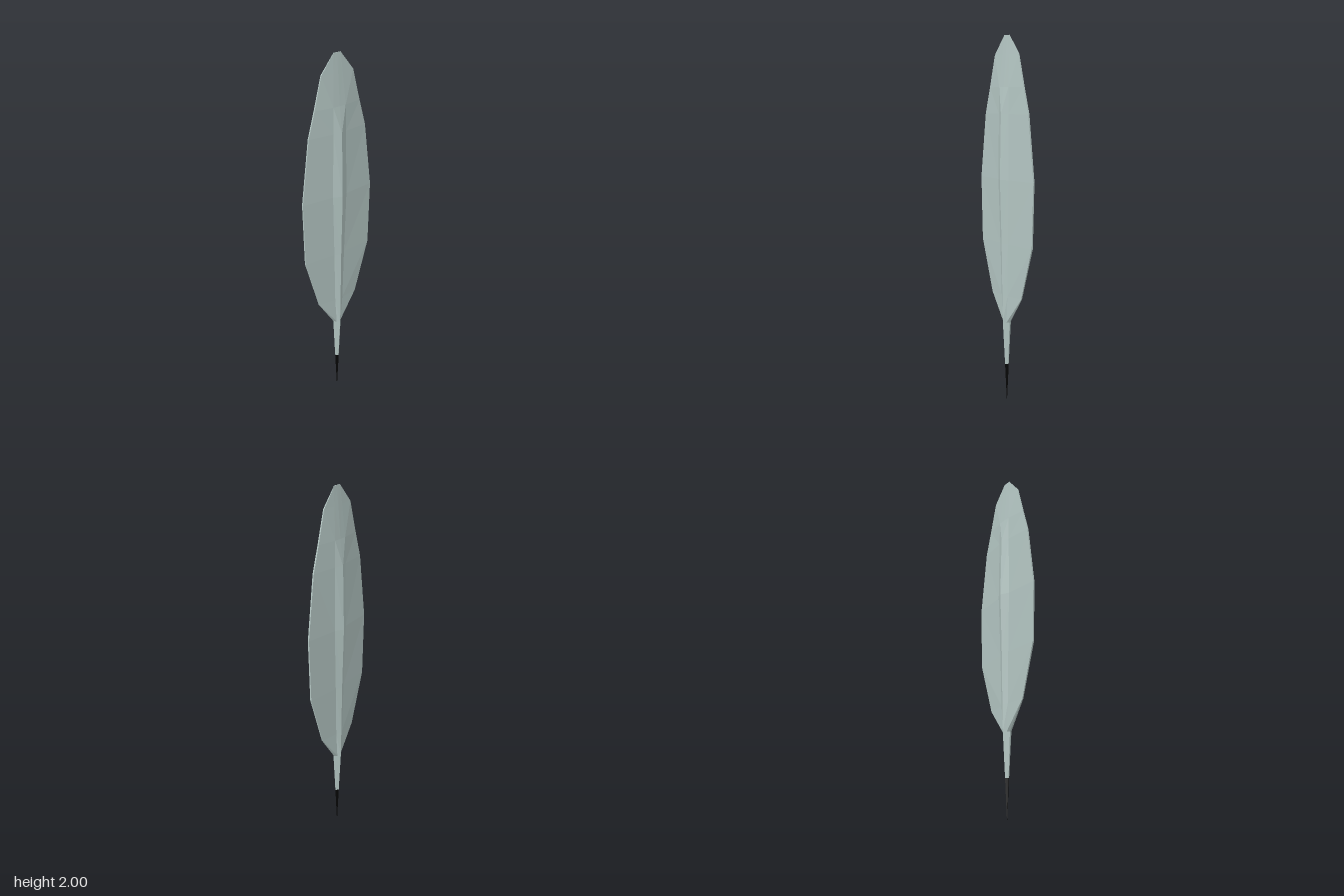
import * as THREE from 'three';

const vaneGrey = new THREE.MeshStandardMaterial({ color: 0xb4c6c3, flatShading: true });
vaneGrey.name = 'pale grey feather';
const nibBlack = new THREE.MeshStandardMaterial({ color: 0x050505, flatShading: true });
nibBlack.name = 'black nib';

// Cross-section: [y, outer half width, edge depth, shaft half width, shaft depth, ridge depth]
const NIB = [
  [0, 0.001, 0, 0.0005, 0.0005, 0.001],
  [0.21, 0.013, 0.001, 0.007, 0.007, 0.013],
];
const FEATHER = [
  [0.21, 0.013, 0.001, 0.007, 0.007, 0.013],
  [0.45, 0.026, 0.002, 0.014, 0.014, 0.028],
  [0.6, 0.13, 0.003, 0.026, 0.016, 0.031],
  [0.89, 0.22, 0.004, 0.034, 0.019, 0.036],
  [1.24, 0.231, 0.004, 0.046, 0.023, 0.047],
  [1.59, 0.187, 0.004, 0.042, 0.022, 0.04],
  [1.73, 0.147, 0.004, 0.04, 0.021, 0.022],
  [1.9, 0.103, 0.003, 0.03, 0.008, 0.009],
  [2, 0.022, 0.001, 0.01, 0.001, 0.001],
];

// Ten-point ring, mirrored left to right and front to back
function ring([y, w, e, s, sz, r]) {
  const front = [[w, e], [s, sz], [0, r], [-s, sz], [-w, e]];
  const back = front.map(([x, z]) => [-x, -z]);
  return [...front, ...back].map(([x, z]) => [x, y, z]);
}

function loft(sections, material, name) {
  const rings = sections.map(ring);
  const pos = [];
  const tri = (a, b, c) => pos.push(...a, ...b, ...c);
  for (let i = 0; i < rings.length - 1; i++) {
    for (let j = 0; j < 10; j++) {
      const k = (j + 1) % 10;
      const a = rings[i][j], b = rings[i][k], c = rings[i + 1][j], d = rings[i + 1][k];
      // Mirror the diagonal so both halves fold alike
      if (j % 5 < 2) { tri(b, a, c); tri(b, c, d); }
      else { tri(b, a, d); tri(a, c, d); }
    }
  }
  // End caps
  const lo = rings[0], hi = rings[rings.length - 1];
  for (let j = 1; j < 9; j++) {
    tri(lo[0], lo[j], lo[j + 1]);
    tri(hi[0], hi[j + 1], hi[j]);
  }
  const g = new THREE.BufferGeometry();
  g.setAttribute('position', new THREE.Float32BufferAttribute(pos, 3));
  g.computeVertexNormals();
  const mesh = new THREE.Mesh(g, material);
  mesh.name = name;
  return mesh;
}

export function createModel() {
  const group = new THREE.Group();
  group.name = 'quill';
  group.add(loft(FEATHER, vaneGrey, 'feather'));
  group.add(loft(NIB, nibBlack, 'nib'));
  return group;
}
